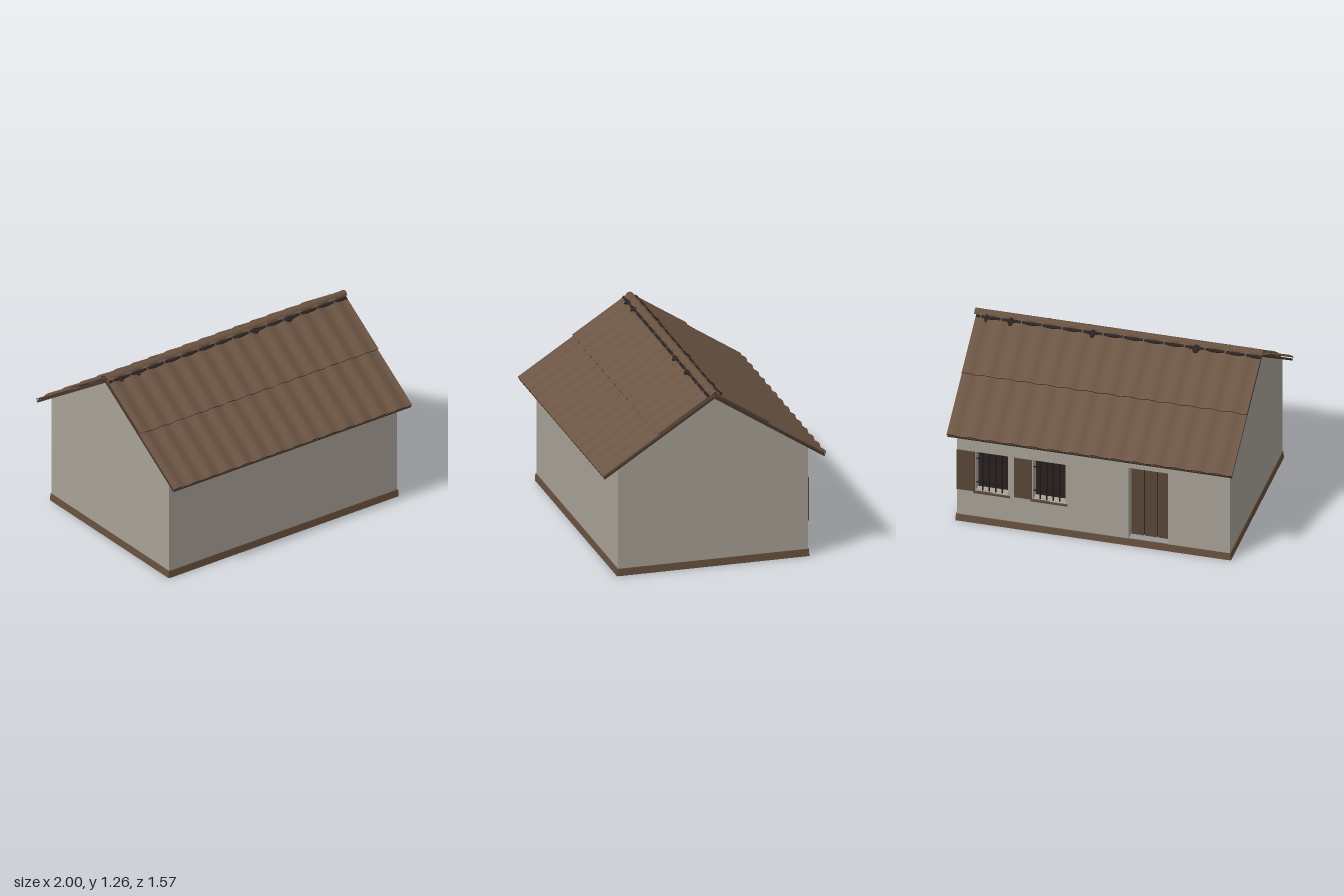
import * as THREE from 'three';

const D = THREE.DoubleSide;
const mat = (name, color, side = THREE.FrontSide) =>
  Object.assign(new THREE.MeshStandardMaterial({ color, side }), { name });

export function createModel() {
  const house = new THREE.Group();
  house.name = 'house';
  const plaster = mat('plaster', 0xa8a297, D);
  const tile = mat('roofTile', 0x6b5443);
  const ridgeTile = mat('ridgeTile', 0x695241, D);
  const plinthMat = mat('plinthBrown', 0x664f3c);
  const timber = mat('timber', 0x5a4637);
  const deckMat = mat('darkTimber', 0x47372c);
  const dark = mat('darkGap', 0x2a2220, D);
  const iron = mat('iron', 0x1f1b1b);

  const add = (parent, name, geo, material, x = 0, y = 0, z = 0) => {
    const m = new THREE.Mesh(geo, material);
    m.name = name;
    m.position.set(x, y, z);
    parent.add(m);
    return m;
  };
  const box = (parent, name, material, w, h, d, x, y, z) =>
    add(parent, name, new THREE.BoxGeometry(w, h, d), material, x, y, z);

  // Openings in the back wall
  const windows = [0.7025, 0.3025].map(x => ({ x, w: 0.225, y0: 0.25, y1: 0.56 }));
  const door = { x: -0.3875, w: 0.275, y0: 0.05, y1: 0.61 };
  const X0 = -0.955, X1 = 0.945, Z = 0.665, eave = 0.785, apex = 1.212;

  // Long walls
  const longWall = (name, z, holes) => {
    const s = new THREE.Shape([[X0, 0], [X1, 0], [X1, eave], [X0, eave]].map(p => new THREE.Vector2(...p)));
    for (const o of holes) {
      const a = o.x - o.w / 2, b = o.x + o.w / 2;
      s.holes.push(new THREE.Path([[a, o.y0], [a, o.y1], [b, o.y1], [b, o.y0]].map(p => new THREE.Vector2(...p))));
    }
    add(house, name, new THREE.ShapeGeometry(s), plaster, 0, 0, z);
  };
  longWall('frontWall', Z, []);
  longWall('backWall', -Z, [...windows, door]);

  // Gable walls
  for (const [name, x] of [['rightGable', X1], ['leftGable', X0]]) {
    const s = new THREE.Shape([[-Z, 0], [Z, 0], [Z, eave], [0, apex], [-Z, eave]].map(p => new THREE.Vector2(...p)));
    add(house, name, new THREE.ShapeGeometry(s), plaster, x).rotation.y = Math.PI / 2;
  }

  // Plinth band, flared towards the ground
  const flare = (geo, axis) => {
    const p = geo.attributes.position;
    for (let i = 0; i < p.count; i++) {
      if (p.getY(i) < 0) p.setComponent(i, axis, p.getComponent(i, axis) + 0.005);
    }
    geo.computeVertexNormals();
    return geo;
  };
  const cx = (X0 + X1) / 2;
  for (const s of [1, -1]) {
    const side = new THREE.Group();
    side.name = s > 0 ? 'frontPlinths' : 'backPlinths';
    side.rotation.y = s > 0 ? 0 : Math.PI;
    house.add(side);
    add(side, 'longPlinth', flare(new THREE.BoxGeometry(1.912, 0.05, 0.01), 2), plinthMat, cx * s, 0.025, Z);
    add(side, 'gablePlinth', flare(new THREE.BoxGeometry(0.01, 0.05, 1.342), 0), plinthMat, s > 0 ? X1 : -X0, 0.025, 0);
  }

  // Reveals lining an opening
  const depth = 0.07, zr = -Z + depth / 2, zBack = -Z + depth;
  const reveals = (parent, o, withSill) => {
    const h = o.y1 - o.y0, my = (o.y0 + o.y1) / 2;
    for (const s of [1, -1]) box(parent, 'sideReveal', plaster, 0.004, h, depth, o.x + s * (o.w / 2 + 0.002), my, zr);
    box(parent, 'topReveal', plaster, o.w, 0.004, depth, o.x, o.y1 + 0.002, zr);
    if (withSill) box(parent, 'bottomReveal', plaster, o.w, 0.004, depth, o.x, o.y0 - 0.002, zr);
  };

  // Barred windows, each with one open shutter
  for (const o of windows) {
    const g = new THREE.Group();
    g.name = 'window';
    house.add(g);
    const h = o.y1 - o.y0, my = (o.y0 + o.y1) / 2;
    reveals(g, o, true);
    box(g, 'darkPane', dark, o.w, h, 0.004, o.x, my, zBack);
    box(g, 'sill', timber, o.w + 0.03, 0.012, 0.02, o.x, o.y0 - 0.006, -Z - 0.002);
    box(g, 'shutter', timber, 0.125, h, 0.008, o.x + o.w / 2 + 0.068, my, -Z - 0.005);
    for (let i = 1; i <= 4; i++) box(g, 'bar', iron, 0.007, h, 0.007, o.x - o.w / 2 + (o.w * i) / 5, my, -Z + 0.02);
    for (const f of [0.2, 0.8]) box(g, 'crossBar', iron, o.w, 0.007, 0.007, o.x, o.y0 + h * f, -Z + 0.02);
  }

  // Recessed plank door
  const dg = new THREE.Group();
  dg.name = 'door';
  house.add(dg);
  const dh = door.y1 - door.y0, dy = (door.y0 + door.y1) / 2;
  reveals(dg, door, false);
  box(dg, 'doorBacking', dark, door.w, dh, 0.006, door.x, dy, zBack + 0.008);
  for (let i = -1; i <= 1; i++) box(dg, 'doorPlank', timber, door.w / 3 - 0.007, dh, 0.012, door.x + (i * door.w) / 3, dy, zBack);
  add(dg, 'threshold', new THREE.PlaneGeometry(door.w, depth), deckMat, door.x, door.y0, zr).rotation.x = Math.PI / 2;

  // Corrugated sheet lying in its slope's plane, dark on the lower edge
  const tilt = Math.atan(0.645);
  const sheet = (parent, name, n, u0, u1, shift) => {
    const geo = new THREE.BoxGeometry(1.985, 0.007, u1 - u0, 112, 1, 1);
    const p = geo.attributes.position;
    for (let i = 0; i < p.count; i++) {
      p.setY(i, p.getY(i) + 0.007 * Math.sin((p.getX(i) / 1.985) * 14 * 2 * Math.PI));
    }
    geo.computeVertexNormals();
    add(parent, name, geo, [tile, tile, tile, tile, dark, tile], shift, n, (u0 + u1) / 2);
  };

  // Roof slopes: deck, lower sheet, overlapping upper sheet
  for (const s of [1, -1]) {
    const turn = new THREE.Group();
    turn.name = s > 0 ? 'frontRoof' : 'backRoof';
    turn.rotation.y = s > 0 ? 0 : Math.PI;
    house.add(turn);
    const slope = new THREE.Group();
    slope.name = 'roofSlope';
    slope.position.y = 1.21;
    slope.rotation.x = tilt;
    turn.add(slope);
    const shift = -0.0075 * s;
    box(slope, 'roofDeck', deckMat, 1.98, 0.014, 0.915, shift, 0.008, 0.4575);
    sheet(slope, 'lowerRoofSheet', 0.026, 0.44, 0.912, shift);
    sheet(slope, 'upperRoofSheet', 0.038, 0.0, 0.452, shift);

    // Mortar along the ridge, with a few lumps pushed out below it
    box(slope, 'ridgeMortar', dark, 1.98, 0.012, 0.02, shift, 0.042, 0.024);
    const lumps = s > 0
      ? [[0.22, 0.028], [0.495, 0.036], [-0.76, 0.014], [-0.9, 0.016]]
      : [[0.55, 0.026], [-0.17, 0.02], [-0.74, 0.02], [-0.91, 0.01]];
    for (const [x, r] of lumps) {
      const lump = add(slope, 'mortarLump', new THREE.SphereGeometry(1, 10, 6), dark, x, 0.043, 0.03);
      lump.scale.set(r, 0.009, s > 0 ? 0.022 : 0.034);
    }
  }

  // Half-round ridge cap
  const cap = new THREE.CylinderGeometry(0.028, 0.028, 2, 10, 1, true, 0, Math.PI);
  cap.rotateZ(Math.PI / 2);
  add(house, 'ridgeCap', cap, ridgeTile, 0, 1.237, 0);

  return house;
}
